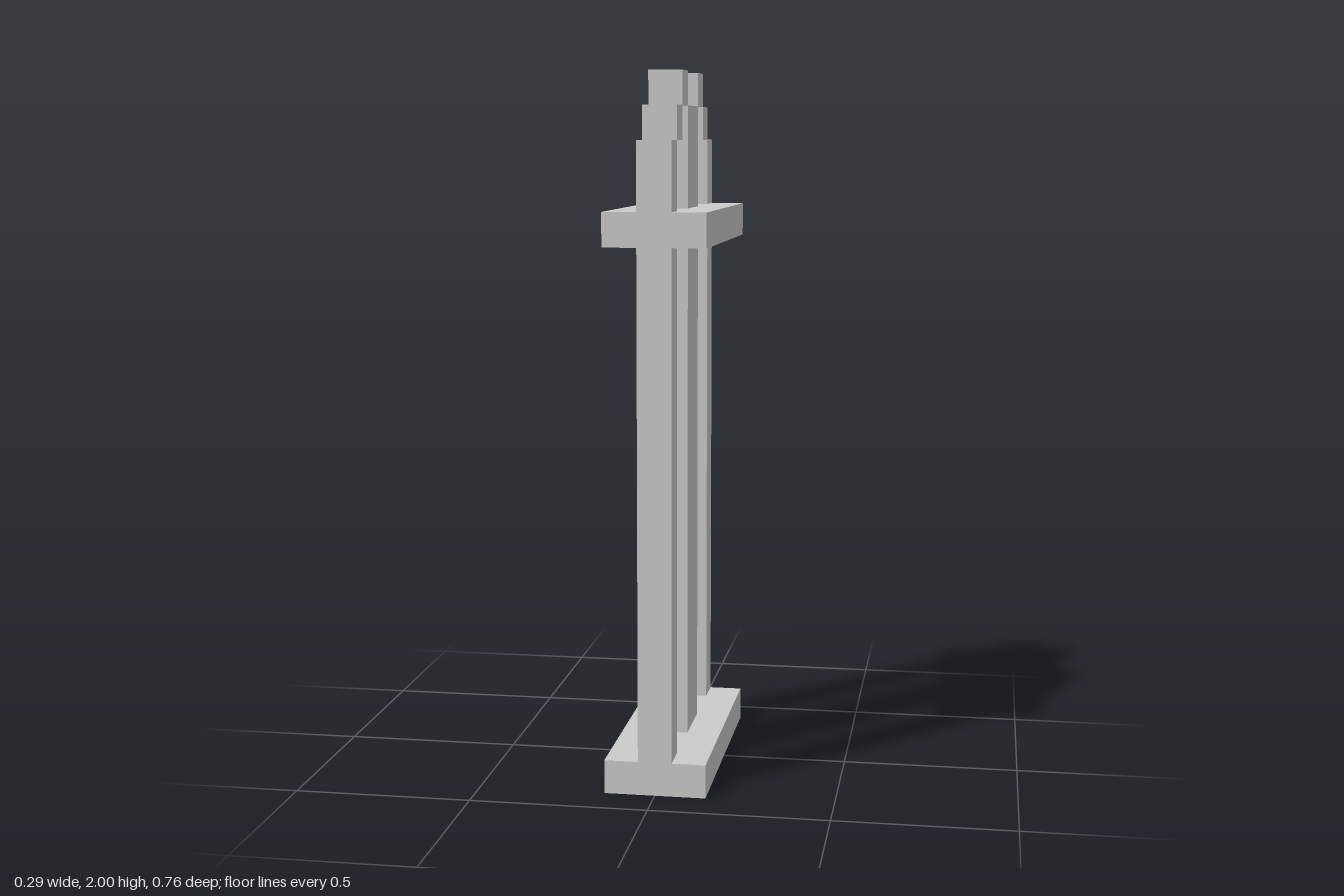
import * as THREE from 'three';

// Everything sits on a block grid: 3 wide, 21 high, 8 deep
const U = 2 / 21;

export function createModel() {
  const model = new THREE.Group();
  const material = new THREE.MeshStandardMaterial({ color: 0xcccccc, flatShading: true });

  // Box centred on x, spanning y0..y1 and z0..z1 in grid units
  function block(name, width, y0, y1, z0, z1) {
    const geometry = new THREE.BoxGeometry(width * U, (y1 - y0) * U, (z1 - z0) * U);
    const mesh = new THREE.Mesh(geometry, material);
    mesh.name = name;
    mesh.position.set(0, ((y0 + y1) / 2) * U, ((z0 + z1) / 2) * U);
    model.add(mesh);
  }

  // Horizontal slabs
  block('base', 3, 0, 1, -4, 4);
  block('upperSlab', 3, 16, 17, -4, 4);

  // Central pillar, below and above the upper slab
  block('lowerPillar', 1, 1, 16, -1, 1);
  block('upperPillar', 1, 17, 20, -1, 1);

  // Outer posts and stepped crown, mirrored front and back
  for (const [side, s] of [['front', 1], ['back', -1]]) {
    const pair = (name, y0, y1, near, far) =>
      block(side + name, 1, y0, y1, Math.min(s * near, s * far), Math.max(s * near, s * far));
    pair('LowerPost', 1, 16, 3, 4);
    pair('UpperPost', 17, 19, 3, 4);
    pair('CrownStep', 19, 20, 2, 3);
    pair('CrownTop', 20, 21, 1, 2);
  }

  return model;
}
